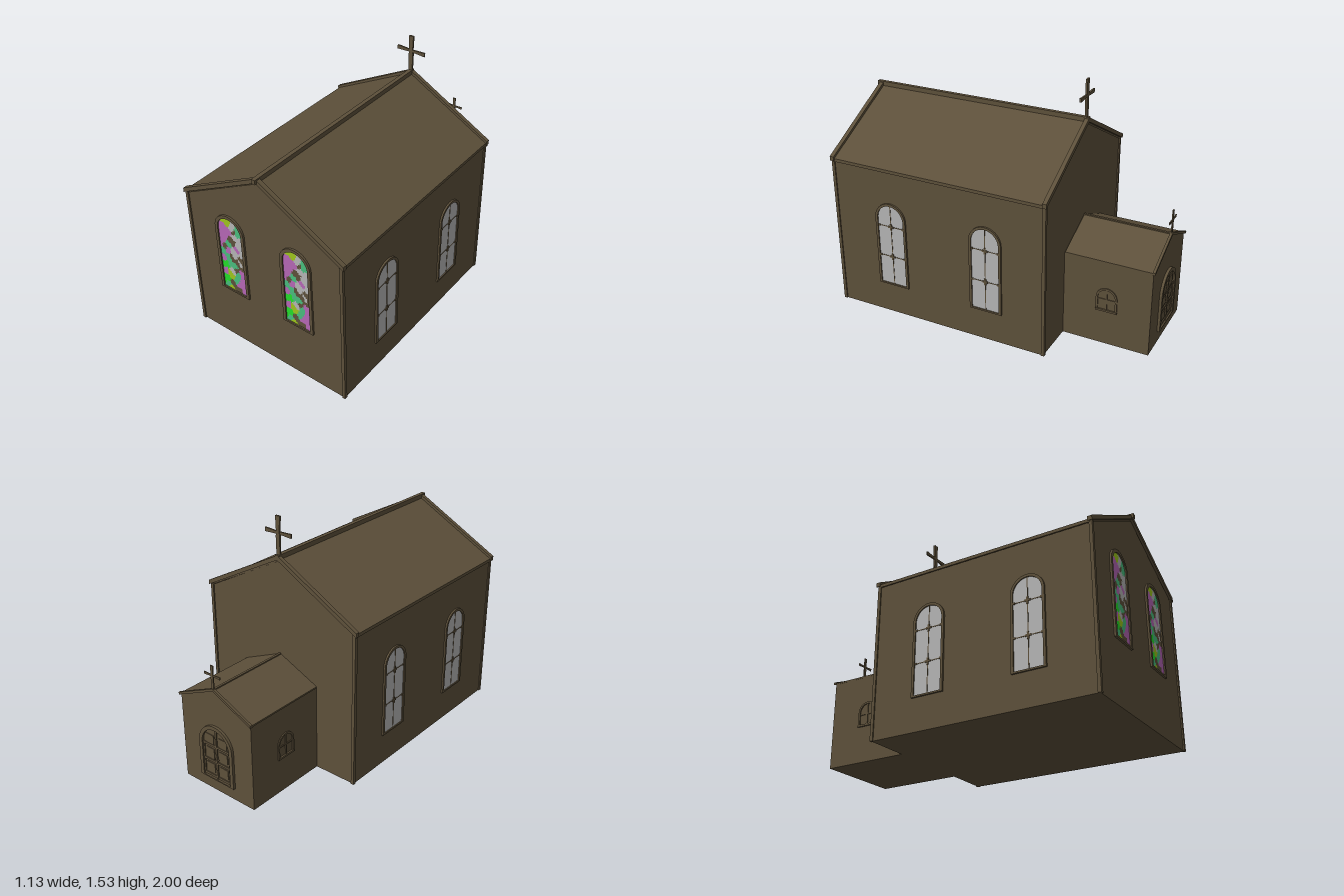
import * as THREE from 'three';
import { mergeGeometries } from 'three/addons/utils/BufferGeometryUtils.js';

const paint = (name, color) => {
  const m = new THREE.MeshStandardMaterial({ color });
  m.name = name;
  return m;
};

export function createModel() {
  const timber = paint('brown timber', 0x5d503a);
  const clear = paint('grey glass', 0xb4b4b4);
  const stained = {
    p: paint('purple glass', 0xb466b4), g: paint('green glass', 0x22dd2a),
    y: paint('lime glass', 0x9cc41c), t: paint('teal glass', 0x48bb7c),
    s: clear, b: timber,
  };
  const model = new THREE.Group();
  model.name = 'chapel';

  const add = (parent, name, geometry, material = timber, x = 0, y = 0, z = 0) => {
    const m = new THREE.Mesh(geometry, material);
    m.name = name;
    m.position.set(x, y, z);
    parent.add(m);
  };
  const box = (parent, name, w, h, d, x, y, z) =>
    add(parent, name, new THREE.BoxGeometry(w, h, d), timber, x, y, z);
  const poly = (pts) => new THREE.Shape(pts.map(([x, y]) => new THREE.Vector2(x, y)));
  const extrude = (shape, depth) =>
    new THREE.ExtrudeGeometry(shape, { depth, bevelEnabled: false, curveSegments: 16 });

  // Round-topped outline standing on y = base
  const arch = (w, h, base = 0, Type = THREE.Shape) => {
    const r = w / 2, s = new Type();
    s.moveTo(-r, base);
    s.lineTo(r, base);
    s.lineTo(r, h - r);
    s.absarc(0, h - r, r, 0, Math.PI, false);
    s.lineTo(-r, base);
    return s;
  };
  const archFrame = (w, h, rim, sill, depth) => {
    const s = arch(w, h);
    s.holes.push(arch(w - 2 * rim, h - rim, sill, THREE.Path));
    return extrude(s, depth);
  };

  // Gabled walls and sloping roof bands
  const gable = (name, w, eave, apex, z0, z1) => add(model, name,
    extrude(poly([[-w, 0], [w, 0], [w, eave], [0, apex], [-w, eave]]), z1 - z0), timber, 0, 0, z0);
  const chevron = (name, w, eave, apex, t, z0, z1) => add(model, name,
    extrude(poly([[-w, eave - t], [0, apex - t], [w, eave - t], [w, eave], [0, apex], [-w, eave]]), z1 - z0),
    timber, 0, 0, z0);

  // Nave
  gable('naveWalls', 0.55, 0.965, 1.262, -0.435, 0.975);
  chevron('naveRoof', 0.56, 0.982, 1.28, 0.02, -0.43, 0.97);
  chevron('frontBargeboard', 0.567, 0.995, 1.3, 0.028, 0.96, 0.987);
  chevron('backBargeboard', 0.567, 0.995, 1.3, 0.028, -0.45, -0.425);
  box(model, 'naveRidge', 0.025, 0.028, 1.45, 0, 1.288, 0.275);
  for (const x of [-0.547, 0.547])
    for (const z of [-0.433, 0.973])
      box(model, 'cornerPost', 0.02, 0.975, 0.02, x, 0.4875, z);

  // Porch
  gable('porchWalls', 0.272, 0.55, 0.672, -0.98, -0.43);
  chevron('porchRoof', 0.277, 0.557, 0.68, 0.01, -0.98, -0.44);
  chevron('porchBargeboard', 0.281, 0.563, 0.688, 0.016, -0.992, -0.976);
  box(model, 'porchRidge', 0.014, 0.012, 0.54, 0, 0.678, -0.71);

  // Crosses with flared ends
  const cross = (name, y, z, s) => {
    const g = new THREE.Group();
    g.name = name;
    add(g, 'upright', extrude(poly([[-0.012, -0.02], [0.012, -0.02], [0.015, 0.11], [0.012, 0.13],
      [0.016, 0.23], [-0.016, 0.23], [-0.012, 0.13], [-0.015, 0.11]]), 0.012));
    add(g, 'arms', extrude(poly([[-0.097, 0.118], [0, 0.124], [0.097, 0.118], [0.097, 0.143],
      [0, 0.138], [-0.097, 0.143]]), 0.01), timber, 0, 0, 0.001);
    g.scale.setScalar(s);
    g.position.set(0, y, z);
    model.add(g);
  };
  cross('naveCross', 1.3, -0.437, 1);
  cross('porchCross', 0.688, -0.988, 0.62);

  const opening = (name, x, y, z, turn) => {
    const g = new THREE.Group();
    g.name = name;
    g.position.set(x, y, z);
    g.rotation.y = turn;
    model.add(g);
    return g;
  };

  // Side windows of nave and porch
  for (const side of [-1, 1]) {
    for (const z of [0.583, -0.06]) {
      const g = opening('sideWindow', side * 0.55, 0.2, z, side * Math.PI / 2);
      add(g, 'frame', archFrame(0.21, 0.56, 0.016, 0.01, 0.011));
      add(g, 'pane', extrude(arch(0.19, 0.55, 0.005), 0.004), clear);
      box(g, 'mullion', 0.005, 0.54, 0.006, 0, 0.275, 0.003);
      for (const y of [0.2, 0.405]) {
        box(g, 'glazingBar', 0.185, 0.005, 0.006, 0, y, 0.003);
        box(g, 'crossingBar', 0.036, 0.012, 0.009, 0, y, 0.0045);
        box(g, 'crossingPost', 0.012, 0.042, 0.009, 0, y, 0.0045);
        for (const x of [-0.087, 0.087]) box(g, 'barEnd', 0.018, 0.012, 0.009, x, y, 0.0045);
      }
    }
    const p = opening('porchWindow', side * 0.272, 0.225, -0.708, side * Math.PI / 2);
    add(p, 'frame', archFrame(0.132, 0.155, 0.012, 0.01, 0.007));
    box(p, 'mullion', 0.008, 0.14, 0.005, 0, 0.075, 0.0025);
    box(p, 'glazingBar', 0.12, 0.008, 0.005, 0, 0.078, 0.0025);
    box(p, 'sill', 0.134, 0.012, 0.01, 0, 0.006, 0.005);
  }

  // Stained glass: rows of colours from top to bottom, their centres shifted to make uneven patches
  const rows = ['yyst', 'pyst', 'ppbt', 'ppss', 'pbbs', 'ptps', 'bpss', 'tbsb',
    'ptbs', 'gttb', 'gsbp', 'pytp', 'gytp', 'gbpp', 'tybp'];
  const W = 0.18, H = 0.535, cell = 0.01;
  const patches = rows.flatMap((row, j) => [...row].map((colour, i) => ({
    colour,
    x: ((i + 0.5 + 0.35 * Math.sin(j * 2.3 + i * 4.1)) / 4 - 0.5) * W,
    y: (1 - (j + 0.5 + 0.4 * Math.sin(j * 1.7 + i * 2.9)) / rows.length) * H,
  })));
  const tiles = {};
  for (let y = cell / 2; y < H; y += cell) {
    for (let x = -W / 2 + cell / 2; x < W / 2; x += cell) {
      if (y > H - W / 2 && Math.hypot(x, y - H + W / 2) > W / 2 + 0.004) continue;
      const distance = (p) => Math.hypot(x - p.x, (y - p.y) * 0.8);
      const { colour } = patches.reduce((a, p) => (distance(p) < distance(a) ? p : a));
      (tiles[colour] ??= []).push(new THREE.PlaneGeometry(cell, cell).translate(x, y, 0));
    }
  }
  for (const x of [-0.237, 0.237]) {
    const g = opening('stainedWindow', x, 0.38, 0.975, 0);
    add(g, 'frame', archFrame(0.213, 0.56, 0.02, 0.012, 0.012));
    for (const c of Object.keys(tiles))
      add(g, 'stainedGlass', mergeGeometries(tiles[c]), stained[c], 0, 0.008, 0.004);
  }

  // Double door at the back of the porch
  const d = opening('door', 0, 0.08, -0.98, Math.PI);
  add(d, 'frame', archFrame(0.26, 0.362, 0.024, 0.008, 0.016));
  add(d, 'leaves', extrude(arch(0.22, 0.34), 0.003));
  box(d, 'centreStile', 0.012, 0.33, 0.01, 0, 0.167, 0.005);
  for (const y of [0.02, 0.12, 0.225]) box(d, 'rail', 0.21, 0.014, 0.009, 0, y, 0.0045);
  for (const s of [-1, 1]) {
    for (const y of [0.07, 0.173, 0.262]) box(d, 'panel', 0.062, 0.06, 0.007, s * 0.052, y, 0.0035);
    box(d, 'outerStile', 0.01, 0.22, 0.009, s * 0.1, 0.115, 0.0045);
    add(d, 'knob', new THREE.SphereGeometry(0.006, 10, 8), timber, s * 0.014, 0.145, 0.011);
  }
  return model;
}
